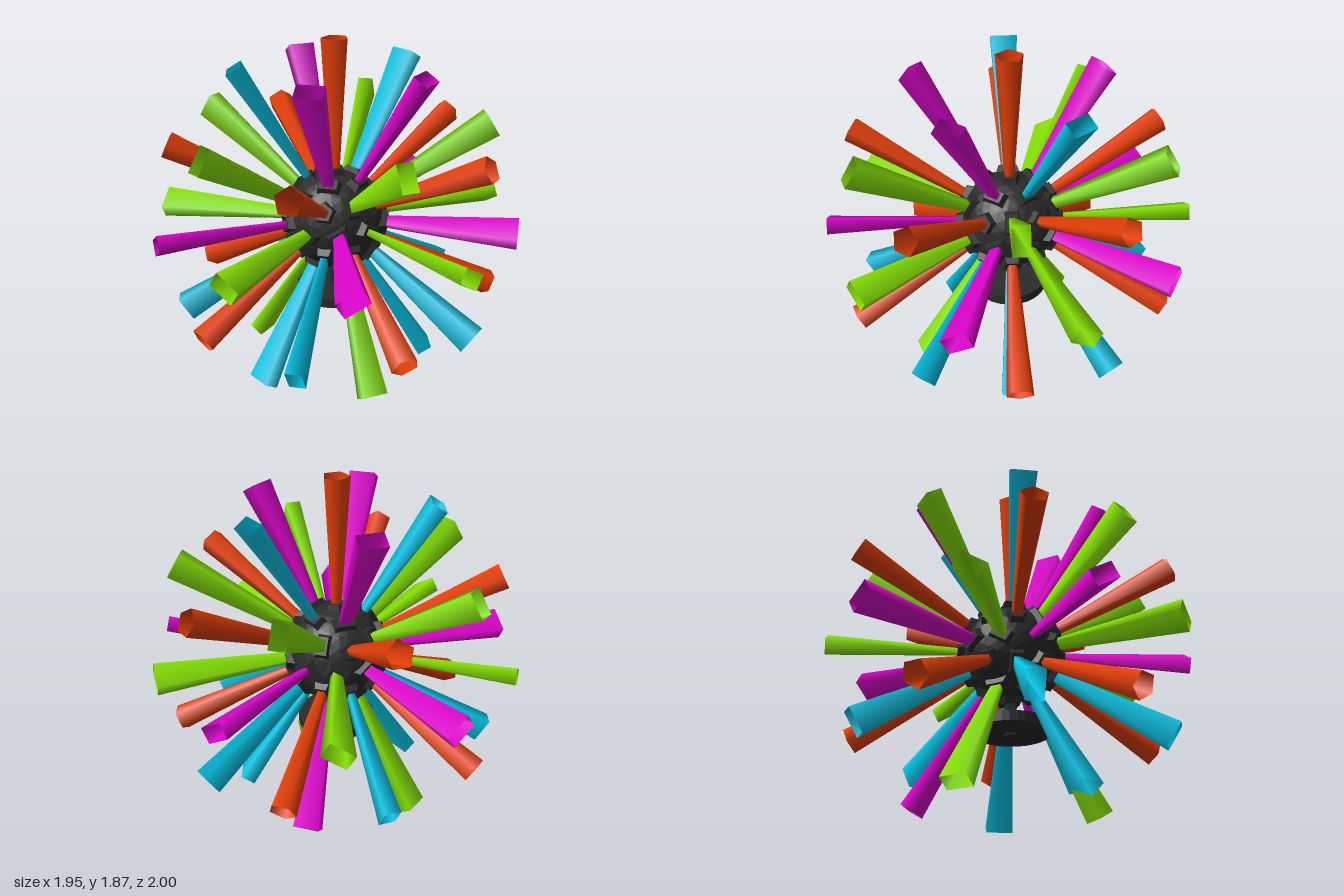
import * as THREE from 'three';

const DEG = Math.PI / 180;
const CENTRE_Y = 0.874;

function material(name, color, side = THREE.DoubleSide) {
  const m = new THREE.MeshStandardMaterial({ color, side });
  m.name = name;
  return m;
}

// Tapered prism along +y from y0 to y1; sides is 5 (pentagon) or 4 (rectangle),
// width and depth are full sizes for a rectangle, radii for a pentagon
function prism(sides, top, bottom, y0, y1, width, depth, open) {
  const g = new THREE.CylinderGeometry(top, bottom, y1 - y0, sides, 1, open);
  if (sides === 4) g.rotateY(Math.PI / 4).scale(width / Math.SQRT2, 1, depth / Math.SQRT2);
  else g.scale(width, 1, depth);
  return g.translate(0, (y0 + y1) / 2, 0);
}

// Turns +y to the given latitude and azimuth, and +z to the tilted tangent
function aim(object, lat, az, tilt) {
  const a = az * DEG, l = lat * DEG, t = tilt * DEG;
  const dir = new THREE.Vector3(Math.cos(l) * Math.cos(a), Math.sin(l), Math.cos(l) * Math.sin(a));
  const east = new THREE.Vector3(-Math.sin(a), 0, Math.cos(a));
  const north = new THREE.Vector3(-Math.sin(l) * Math.cos(a), Math.cos(l), -Math.sin(l) * Math.sin(a));
  const u = east.multiplyScalar(Math.cos(t)).addScaledVector(north, Math.sin(t));
  const x = new THREE.Vector3().crossVectors(dir, u);
  object.quaternion.setFromRotationMatrix(new THREE.Matrix4().makeBasis(x, dir, u));
}

export function createModel() {
  const model = new THREE.Group();
  model.name = 'spikedBall';

  const orange = material('orange', 0xee4208);
  const green = material('green', 0x88e604);
  const cyan = material('cyan', 0x06c8ea);
  const magenta = material('magenta', 0xe004d0);
  const dark = material('charcoal', 0x2b2b2b, THREE.FrontSide);
  dark.flatShading = true;

  const body = new THREE.Group();
  body.name = 'body';
  body.position.y = CENTRE_Y;
  model.add(body);

  const add = (parent, name, geometry, mat) => {
    const mesh = new THREE.Mesh(geometry, mat);
    mesh.name = name;
    parent.add(mesh);
    return mesh;
  };

  // Core ball
  add(body, 'core', new THREE.IcosahedronGeometry(0.268, 5), dark);

  // Shared shapes: hollow flared tube, its inner floor and its raised socket
  const R = 0.075, W = 0.088, L = 0.145, K = 0.38;
  const shapes = {};
  for (const [sides, w, d] of [[5, R, R], [4, W, L]]) {
    shapes[sides] = {
      tube: prism(sides, 1, K, 0.27, 1, w, d, true),
      floor: prism(sides, K, K, 0.297, 0.301, w, d, false),
      socket: prism(sides, 0.68, 0.95, 0.24, 0.295, w, d, false),
    };
  }

  function spike(sides, lat, az, tilt, mat) {
    const g = new THREE.Group();
    g.name = sides === 5 ? 'pentagonSpike' : 'rectangleSpike';
    const s = shapes[sides];
    add(g, 'socket', s.socket, dark);
    if (mat) {
      add(g, 'tube', s.tube, mat);
      add(g, 'tubeFloor', s.floor, mat);
    }
    aim(g, lat, az, tilt);
    body.add(g);
  }

  // Pentagonal spikes on the twelve corners; the lowest one holds the stand
  const cornerLat = Math.atan(0.5) / DEG;
  spike(5, 90, 180, 90, orange);
  spike(5, -90, 180, 90, null);
  for (let i = 0; i < 5; i++) {
    spike(5, cornerLat, 72 * i, 90, orange);
    spike(5, -cornerLat, 180 + 72 * i, -90, orange);
  }

  // Rectangular spikes on the thirty edges, ring by ring
  const midLat = (90 - cornerLat) / 2, highLat = 90 - midLat;
  const topColours = [cyan, magenta, magenta, cyan, magenta];
  const bottomColours = [cyan, green, magenta, cyan, green];
  for (let i = 0; i < 5; i++) {
    spike(4, highLat, 72 * i, 0, topColours[i]);
    spike(4, midLat, 180 + 72 * i, 90, green);
    spike(4, -midLat, 72 * i, 90, cyan);
    spike(4, -highLat, 180 + 72 * i, 0, bottomColours[i]);
  }
  for (let i = 0; i < 10; i++) {
    const even = i % 2 === 0;
    spike(4, 0, 90 + 36 * i, even ? midLat : -midLat, even ? green : magenta);
  }

  // Stand: post and round foot plate
  const post = add(model, 'standPost', new THREE.CylinderGeometry(0.035, 0.035, 0.26, 5), dark);
  post.position.y = 0.53;
  post.rotation.y = -Math.PI / 2;
  const foot = add(model, 'standPlate', new THREE.CylinderGeometry(0.215, 0.215, 0.055, 32), dark);
  foot.position.y = 0.442;

  return model;
}
